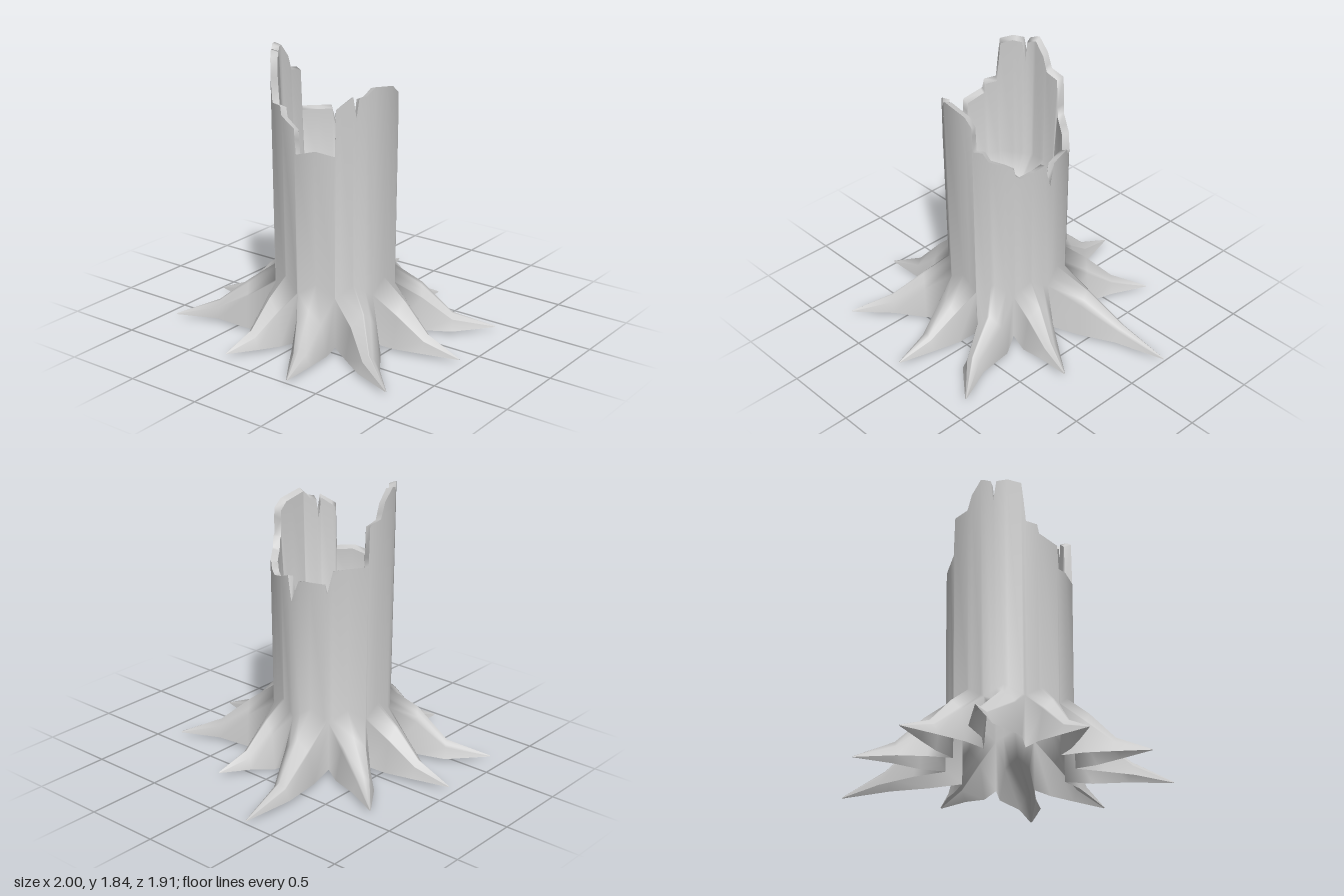
import * as THREE from 'three';
import { mergeGeometries, mergeVertices } from 'three/addons/utils/BufferGeometryUtils.js';

const material = new THREE.MeshStandardMaterial({ color: 0xcccccc, side: THREE.DoubleSide });
const CX = -0.15, SIDES = 10, BASE = 0.39, GROUND = 0.02;

// Broken rim: [position around the ten-sided trunk (0 = +x, 2.5 = front), height]
const RIM = [
  [0, 1.14], [0.15, 1.3], [0.45, 1.27], [0.8, 1.25], [0.93, 1.28], [0.97, 1.33], [1.2, 1.35],
  [1.6, 1.37], [1.75, 1.43], [1.98, 1.43], [2.01, 1.6], [2.25, 1.65], [2.98, 1.68], [3.2, 1.63],
  [3.38, 1.62], [3.45, 1.5], [3.53, 1.63], [3.85, 1.58], [3.96, 1.56], [3.99, 1.27], [4.5, 1.29],
  [4.97, 1.26], [5.02, 1.42], [5.55, 1.47], [5.6, 1.53], [5.93, 1.53], [6.05, 1.8], [6.4, 1.83],
  [6.68, 1.82], [6.76, 1.68], [6.82, 1.82], [7.1, 1.84], [7.4, 1.76], [7.55, 1.66], [7.97, 1.64],
  [8.01, 1.38], [8.9, 1.37], [9.05, 1.22], [9.12, 1.28], [9.8, 1.28], [10, 1.14],
];

// Roots in order around the trunk: [tip x, tip z, sideways bend, ground height at the knee]
const ROOTS = [
  [0.66, 0.26, 0, 0], [0.4, 0.87, 0.035, GROUND], [-0.15, 0.95, 0, GROUND],
  [-0.77, 0.84, 0.02, GROUND], [-1.0, 0.28, 0, GROUND], [-0.94, -0.25, 0, GROUND],
  [-0.67, -0.91, 0.045, GROUND], [-0.15, -0.96, 0, GROUND], [0.41, -0.78, -0.02, GROUND],
  [1.0, -0.3, -0.04, GROUND],
];

// Columns at every rim point, corner and middle of a side
const COLUMNS = [...new Set([
  ...RIM.slice(0, -1).map((p) => p[0]),
  ...Array.from({ length: SIDES * 2 }, (_, k) => k / 2),
])].sort((a, b) => a - b);

// Surface through rows of points, optionally closed around
function grid(rows, closed = false) {
  const n = rows[0].length, index = [];
  for (let i = 0; i < rows.length - 1; i++) {
    for (let j = 0; j < (closed ? n : n - 1); j++) {
      const a = i * n + j, b = i * n + ((j + 1) % n);
      index.push(a, b, a + n, b, b + n, a + n);
    }
  }
  return new THREE.BufferGeometry().setFromPoints(rows.flat()).setIndex(index);
}

function part(name, geometry) {
  geometry.computeVertexNormals();
  const mesh = new THREE.Mesh(geometry, material);
  mesh.name = name;
  return mesh;
}

// Point on the ten-sided outline
function outline(s, radius, y) {
  const corner = (k) => {
    const a = (k / SIDES) * Math.PI * 2;
    return new THREE.Vector3(CX + Math.cos(a) * radius, y, Math.sin(a) * radius * 1.03);
  };
  const k = Math.floor(s);
  return corner(k).lerp(corner(k + 1), s - k);
}

const row = (radius, height) => COLUMNS.map((s) => outline(s, radius, height(s)));

function rimHeight(s) {
  const i = Math.max(1, RIM.findIndex((p) => p[0] >= s));
  const [s0, h0] = RIM[i - 1], [s1, h1] = RIM[i];
  return h0 + ((h1 - h0) * (s - s0)) / (s1 - s0);
}

// The lower edge of the bark rises over each root and drops between them
const lowerEdge = (s) => 0.43 - 0.08 * Math.abs(2 * (s % 1) - 1);

// Hollow root: arched sections that shrink from one trunk side to the tip
function rootGeometry([tx, tz, bend, kneeGround], k) {
  const start = outline(k + 0.5, BASE, 0);
  const tip = new THREE.Vector3(tx, 0, tz);
  const out = new THREE.Vector3(start.x - CX, 0, start.z).normalize();
  const toTip = tip.clone().sub(start).normalize();
  const side = (d) => new THREE.Vector3(-d.z, 0, d.x);
  const knee = start.clone().addScaledVector(out, start.distanceTo(tip) * 0.27);
  const bow = start.clone().lerp(tip, 0.58).addScaledVector(side(toTip), bend);
  const across = [...COLUMNS.filter((s) => s >= k && s < k + 1), k + 1];

  // First section follows the lower edge of the bark
  const first = [
    outline(k, BASE, GROUND),
    ...across.map((s) => outline(s, BASE, lowerEdge(s))),
    outline(k + 1, BASE, GROUND),
  ];
  // [centre, direction, half width, shoulder width, shoulder height, ridge height, ground]
  const sections = [
    [knee, out, 0.115, 0.08, 0.23, 0.31, kneeGround],
    [bow, toTip, 0.07, 0.04, 0.09, 0.13, GROUND],
    [tip, toTip, 0.004, 0.002, GROUND + 0.003, GROUND + 0.006, GROUND],
  ].map(([c, d, w, sw, sh, ridge, ground]) => {
    const arch = across.map((s) => {
      const u = 2 * (s - k) - 1;
      return [u * sw, ridge - (ridge - sh) * Math.abs(u)];
    });
    return [[-w, ground], ...arch, [w, ground]].map(([u, y]) =>
      c.clone().addScaledVector(side(d), u).setY(y));
  });
  return grid([first, ...sections]);
}

// Bark and roots form one smooth skin
function createSkin() {
  const bark = grid([row(0.4, rimHeight), row(BASE, lowerEdge)], true);
  const skin = part('barkAndRoots',
    mergeVertices(mergeGeometries([bark, ...ROOTS.map(rootGeometry)])));
  // Rounded shading around the upper bark
  const { position: p, normal: n } = skin.geometry.attributes;
  for (let i = 0; i < p.count; i++) {
    if (p.getY(i) < 0.5) continue;
    const v = new THREE.Vector3(p.getX(i) - CX, 0, p.getZ(i)).normalize();
    n.setXYZ(i, v.x, v.y, v.z);
  }
  return skin;
}

export function createModel() {
  const model = new THREE.Group();
  model.name = 'treeStump';
  const innerTop = (s) => rimHeight(s) - 0.015;
  model.add(
    createSkin(),
    part('brokenRim', grid([row(0.355, innerTop), row(0.4, rimHeight)], true)),
    // Bowl-shaped hollow in the upper trunk
    part('hollow', grid([
      row(0.002, () => 0.85), row(0.2, () => 0.88), row(0.33, () => 1.0), row(0.355, innerTop),
    ], true)),
  );
  return model;
}
